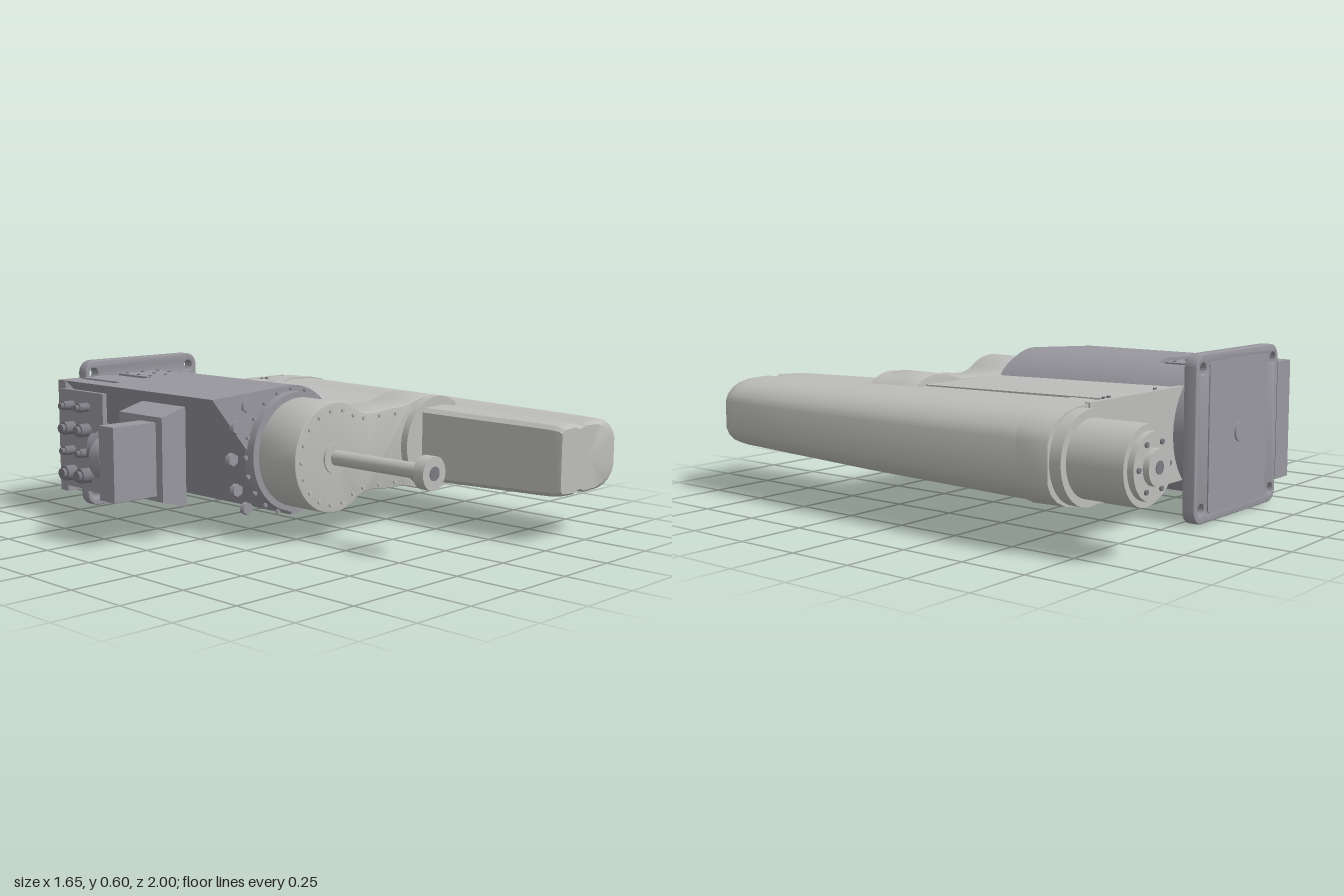
import * as THREE from 'three';
import { toCreasedNormals } from 'three/addons/utils/BufferGeometryUtils.js';

const CX = -0.15, CY = 0.305; // main axis of the base

export function createModel() {
  const root = new THREE.Group();
  const baseGrey = new THREE.MeshStandardMaterial({ color: 0x98979e });
  baseGrey.name = 'base grey';
  const armGrey = new THREE.MeshStandardMaterial({ color: 0xbdbdbb });
  armGrey.name = 'arm grey';
  const darkGrey = new THREE.MeshStandardMaterial({ color: 0x7c7b82 });
  darkGrey.name = 'connector grey';

  const add = (name, geo, mat, x = 0, y = 0, z = 0) => {
    const m = new THREE.Mesh(geo, mat);
    m.name = name;
    m.position.set(x, y, z);
    root.add(m);
    return m;
  };
  const box = (name, mat, x0, x1, y0, y1, z0, z1) =>
    add(name, new THREE.BoxGeometry(x1 - x0, y1 - y0, z1 - z0), mat, (x0 + x1) / 2, (y0 + y1) / 2, (z0 + z1) / 2);
  const rod = (name, mat, r, x, y, z0, z1, sides = 40) =>
    add(name, new THREE.CylinderGeometry(r, r, z1 - z0, sides).rotateX(Math.PI / 2), mat, x, y, (z0 + z1) / 2);
  const extrude = (name, mat, shape, z0, z1, bevel = 0) => {
    const geo = new THREE.ExtrudeGeometry(shape, {
      depth: z1 - z0 - 2 * bevel, bevelEnabled: bevel > 0, bevelSize: bevel, bevelOffset: -bevel,
      bevelThickness: bevel, bevelSegments: 3, curveSegments: 24,
    });
    return add(name, toCreasedNormals(geo, 0.5), mat, 0, 0, z0 + bevel);
  };
  // skin between counterclockwise [x, y] outlines, with closed ends
  const loft = (name, mat, sections) => {
    const pos = [], idx = [], n = sections[0].pts.length, last = sections.length - 1;
    sections.forEach(({ pts, z }) => pts.forEach(([x, y]) => pos.push(x, y, z)));
    for (let i = 0; i < last; i++) for (let j = 0; j < n; j++) {
      const k = (j + 1) % n, a = i * n + j, b = i * n + k;
      idx.push(a, b, b + n, a, b + n, a + n);
    }
    for (const i of [0, last]) {
      const { pts, z } = sections[i], c = pos.length / 3;
      pos.push(pts.reduce((s, p) => s + p[0], 0) / n, CY, z);
      for (let j = 0; j < n; j++) {
        const a = i * n + j, b = i * n + (j + 1) % n;
        if (i) idx.push(c, a, b); else idx.push(c, b, a);
      }
    }
    const geo = new THREE.BufferGeometry();
    geo.setAttribute('position', new THREE.Float32BufferAttribute(pos, 3));
    geo.setIndex(idx);
    return add(name, toCreasedNormals(geo, 0.5), mat);
  };
  const roundRect = (x0, x1, y0, y1, r) => {
    const s = new THREE.Shape();
    s.absarc(x1 - r, y0 + r, r, -Math.PI / 2, 0);
    s.absarc(x1 - r, y1 - r, r, 0, Math.PI / 2);
    s.absarc(x0 + r, y1 - r, r, Math.PI / 2, Math.PI);
    s.absarc(x0 + r, y0 + r, r, Math.PI, Math.PI * 1.5);
    return s;
  };

  // mounting plate with four bolt holes
  const plate = roundRect(-0.44, 0.145, 0, 0.6, 0.05);
  for (const x of [-0.4, 0.1]) for (const y of [0.052, 0.548]) {
    plate.holes.push(new THREE.Path().absarc(x, y, 0.021, 0, Math.PI * 2, true));
  }
  extrude('mountingPlate', baseGrey, plate, -0.82, -0.77, 0.005);
  extrude('rearPanel', baseGrey, roundRect(-0.35, 0.06, 0.03, 0.57, 0.02), -0.825, -0.815);
  rod('rearPlug', baseGrey, 0.035, CX, 0.3, -0.832, -0.82, 24);

  // base housing, flat-topped at the rear
  const housing = (a) => {
    const s = new THREE.Shape();
    s.moveTo(-0.54, 0.08);
    s.absarc(CX, CY, 0.247, -a, a);
    s.lineTo(-0.54, 0.53);
    return s;
  };
  extrude('housing', baseGrey, housing(Math.PI / 2), -0.53, 0.12);
  extrude('rearHousing', baseGrey, housing(1.2), -0.78, -0.53);
  box('sideFlange', baseGrey, -0.54, -0.44, 0.08, 0.53, -0.82, -0.77);
  rod('bearingRing', baseGrey, 0.225, CX, CY, 0.11, 0.155, 64);
  for (let i = 0; i < 20; i++) {
    const a = i * Math.PI / 10;
    rod('ringBolt', baseGrey, 0.008, CX + 0.235 * Math.cos(a), CY + 0.235 * Math.sin(a), 0.12, 0.13, 10);
  }
  for (const [x, y] of [[-0.38, 0.495], [-0.38, 0.115], [-0.45, 0.305], [-0.43, 0.42], [-0.43, 0.19]]) {
    rod('housingBolt', baseGrey, 0.024, x, y, 0.11, 0.132, 6);
  }
  // access plates above and below
  for (const s of [-1, 1]) {
    box('accessPlate', baseGrey, -0.285, -0.075, CY + s * 0.232 - 0.004, CY + s * 0.232 + 0.004, -0.755, -0.55);
    for (const x of [-0.26, -0.18, -0.1]) for (const z of [-0.73, -0.655, -0.58]) {
      add('plateScrew', new THREE.CylinderGeometry(0.007, 0.007, 0.016, 8), darkGrey, x, CY + s * 0.232, z);
    }
    box('sidePlate', baseGrey, -0.46, -0.335, CY + s * 0.228 - 0.004, CY + s * 0.228 + 0.004, -0.765, -0.52);
  }

  // terminal box and connectors on the side
  const terminal = new THREE.Shape([[-0.64, 0.15], [-0.53, 0.12], [-0.53, 0.49], [-0.64, 0.46]].map((p) => new THREE.Vector2(...p)));
  extrude('terminalBox', baseGrey, terminal, -0.29, -0.04);
  box('bracket', baseGrey, -0.83, -0.64, 0.17, 0.44, -0.16, -0.075);
  rod('bracketSocket', baseGrey, 0.065, -0.735, CY, -0.18, -0.16);
  rod('bracketConnector', baseGrey, 0.085, -0.735, CY, -0.24, -0.175);
  box('connectorPanel', baseGrey, -0.56, -0.54, 0.11, 0.5, -0.78, -0.5);
  const angled = new THREE.Group();
  angled.name = 'angledConnector';
  for (const [r, h, y] of [[0.05, 0.17, 0.03], [0.064, 0.04, 0.1], [0.055, 0.03, 0.13]]) {
    const m = new THREE.Mesh(new THREE.CylinderGeometry(r, r, h, 24), darkGrey);
    m.position.y = y;
    angled.add(m);
  }
  angled.position.set(-0.565, CY, -0.34);
  angled.quaternion.setFromUnitVectors(new THREE.Vector3(0, 1, 0), new THREE.Vector3(-0.5, 0, -0.86).normalize());
  root.add(angled);
  box('connectorSeat', baseGrey, -0.6, -0.54, 0.22, 0.39, -0.4, -0.28);
  for (const z of [-0.7, -0.6]) for (const [y, r] of [[0.17, 0.03], [0.26, 0.018], [0.35, 0.026], [0.44, 0.018]]) {
    add('socket', new THREE.CylinderGeometry(r, r, 0.05, 16).rotateZ(Math.PI / 2), darkGrey, -0.58, y, z);
    add('socketCap', new THREE.CylinderGeometry(r * 0.7, r * 0.7, 0.02, 16).rotateZ(Math.PI / 2), darkGrey, -0.61, y, z);
  }

  // first arm: a waisted link
  const link = new THREE.Shape();
  link.absarc(CX, CY, 0.205, 0.95, Math.PI * 2 - 0.95);
  link.bezierCurveTo(0.04, 0.18, 0.1, 0.145, 0.2, 0.15);
  link.bezierCurveTo(0.28, 0.15, 0.3, 0.12, 0.39, 0.12);
  link.bezierCurveTo(0.46, 0.12, 0.53, 0.16, 0.53, 0.2);
  link.lineTo(0.53, 0.41);
  link.bezierCurveTo(0.53, 0.45, 0.46, 0.49, 0.39, 0.49);
  link.bezierCurveTo(0.3, 0.49, 0.28, 0.46, 0.2, 0.46);
  link.bezierCurveTo(0.1, 0.465, 0.04, 0.43, CX + 0.205 * Math.cos(0.95), CY + 0.205 * Math.sin(0.95));
  extrude('firstArm', armGrey, link, 0.16, 0.35, 0.005);
  const collar = new THREE.Shape().absarc(0.4, CY, 0.183, 0.8, Math.PI * 2 - 0.8);
  extrude('jointCollar', armGrey, collar, 0.25, 0.38);
  for (let i = 0; i < 13; i++) {
    const a = 1.0 + i * (Math.PI * 2 - 2) / 12;
    rod('coverScrew', armGrey, 0.008, CX + 0.175 * Math.cos(a), CY + 0.175 * Math.sin(a), 0.345, 0.358, 10);
  }
  for (const x of [0, 0.09, 0.18]) for (const s of [-1, 1]) rod('coverScrew', armGrey, 0.008, x, CY + s * 0.132, 0.345, 0.358, 10);

  // shaft with end disc
  rod('shaftBoss', armGrey, 0.06, CX, CY, 0.345, 0.356);
  rod('shaft', armGrey, 0.028, CX, CY, 0.35, 0.79);
  rod('shaftDisc', armGrey, 0.06, CX, CY, 0.77, 0.815);
  rod('shaftTip', darkGrey, 0.025, CX, CY, 0.81, 0.818, 24);

  // second arm: tapering cover with a shallow groove above and below
  const half = [[0, 0.86], [0.04, 0.97], [0.27, 1], [0.33, 0.93], [0.4, 0.93], [0.46, 1],
    [0.7, 0.98], [0.83, 0.9], [0.91, 0.78], [0.97, 0.6], [1, 0.4]];
  const section = (z, l, r, h) => {
    const at = (s) => half.map(([t, f]) => [l + t * (r - l), CY + s * f * h]);
    return { z, pts: [...at(-1), ...at(1).reverse()] };
  };
  loft('secondArm', armGrey, [
    section(-0.69, 0.28, 0.805, 0.166), section(-0.5, 0.285, 0.81, 0.163), section(0.2, 0.3, 0.795, 0.15),
    section(0.6, 0.315, 0.77, 0.141), section(0.9, 0.328, 0.748, 0.135), section(0.955, 0.33, 0.735, 0.133),
    section(0.985, 0.333, 0.7, 0.129), section(0.998, 0.337, 0.655, 0.12),
  ]);
  loft('rearCover', armGrey, [section(-0.695, 0.27, 0.815, 0.168), section(-0.57, 0.27, 0.82, 0.17)]);
  const slab = (z, h) => ({ z, pts: [[0.03, CY - h], [0.45, CY - h], [0.45, CY + h], [0.03, CY + h]] });
  loft('armBody', armGrey, [slab(-0.68, 0.164), slab(0.155, 0.15)]);
  box('rearRim', armGrey, 0.03, 0.6, 0.135, 0.475, -0.7, -0.68);
  for (const x of [0.15, 0.43, 0.46]) for (const s of [-1, 1]) {
    add('rimScrew', new THREE.CylinderGeometry(0.007, 0.007, 0.012, 8), darkGrey, x, CY + s * 0.165, -0.655);
  }

  // motor on a tapered flange
  const flange = new THREE.Shape();
  flange.absarc(0.65, CY, 0.158, -Math.PI / 2 - 0.25, Math.PI / 2 + 0.25);
  flange.absarc(0.46, CY, 0.08, Math.PI / 2 + 0.3, Math.PI * 1.5 - 0.3);
  extrude('motorFlange', armGrey, flange, -0.74, -0.69);
  rod('motor', armGrey, 0.131, 0.65, CY, -0.955, -0.73, 48);
  rod('motorCap', armGrey, 0.11, 0.65, CY, -0.978, -0.95, 48);
  rod('motorHub', armGrey, 0.06, 0.65, CY, -1.0, -0.97, 32);
  rod('motorPin', darkGrey, 0.022, 0.65, CY, -1.002, -0.99, 20);
  for (let i = 0; i < 6; i++) {
    const a = i * Math.PI / 3;
    rod('motorScrew', darkGrey, 0.009, 0.65 + 0.085 * Math.cos(a), CY + 0.085 * Math.sin(a), -0.985, -0.97, 10);
  }
  return root;
}
